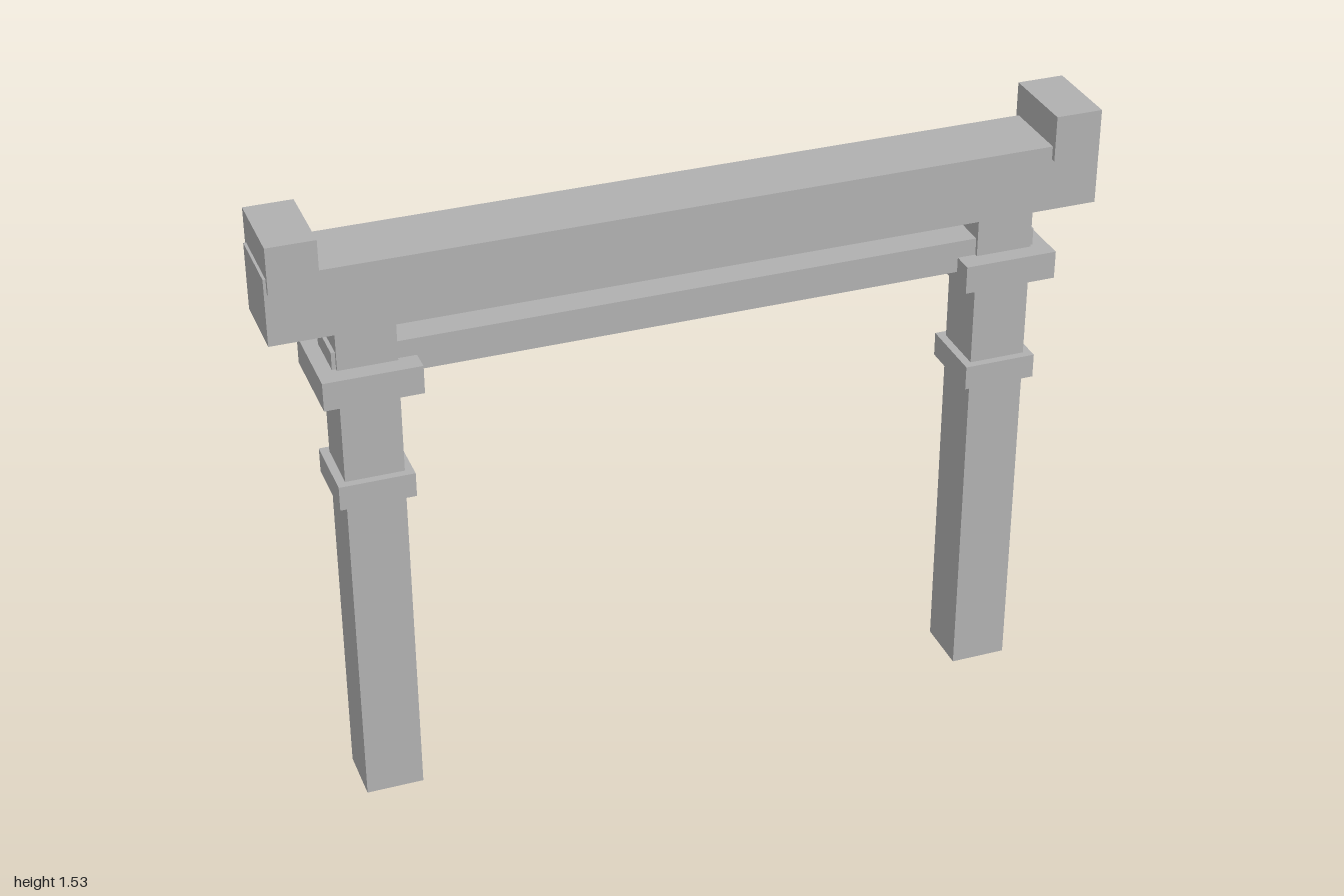
import * as THREE from 'three';

export function createModel() {
  const group = new THREE.Group();
  const stone = new THREE.MeshStandardMaterial({ color: 0xb0b0b0 });
  stone.name = 'grey stone';

  // Box centred on z = 0, given its x centre, width, bottom, top and depth
  function block(name, x, width, bottom, top, depth, parent = group) {
    const mesh = new THREE.Mesh(new THREE.BoxGeometry(width, top - bottom, depth), stone);
    mesh.name = name;
    mesh.position.set(x, (bottom + top) / 2, 0);
    parent.add(mesh);
  }

  // Beams spanning the gate
  block('topBeam', 0, 2, 1.282, 1.447, 0.182);
  block('tieBeam', 0, 1.715, 1.142, 1.223, 0.125);

  // Posts with their collars, and the caps on the beam ends
  for (const [side, s] of [['left', 1], ['right', -1]]) {
    const post = new THREE.Group();
    post.name = side + 'PostAssembly';
    group.add(post);
    block(side + 'Post', s * 0.778, 0.14, 0, 1.282, 0.142, post);
    block(side + 'LowerCollar', s * 0.778, 0.18, 0.829, 0.89, 0.181, post);
    block(side + 'UpperCollar', s * 0.778, 0.231, 1.11, 1.18, 0.231, post);
    block(side + 'EndCap', s * 0.936, 0.115, 1.414, 1.527, 0.206);
  }
  return group;
}
